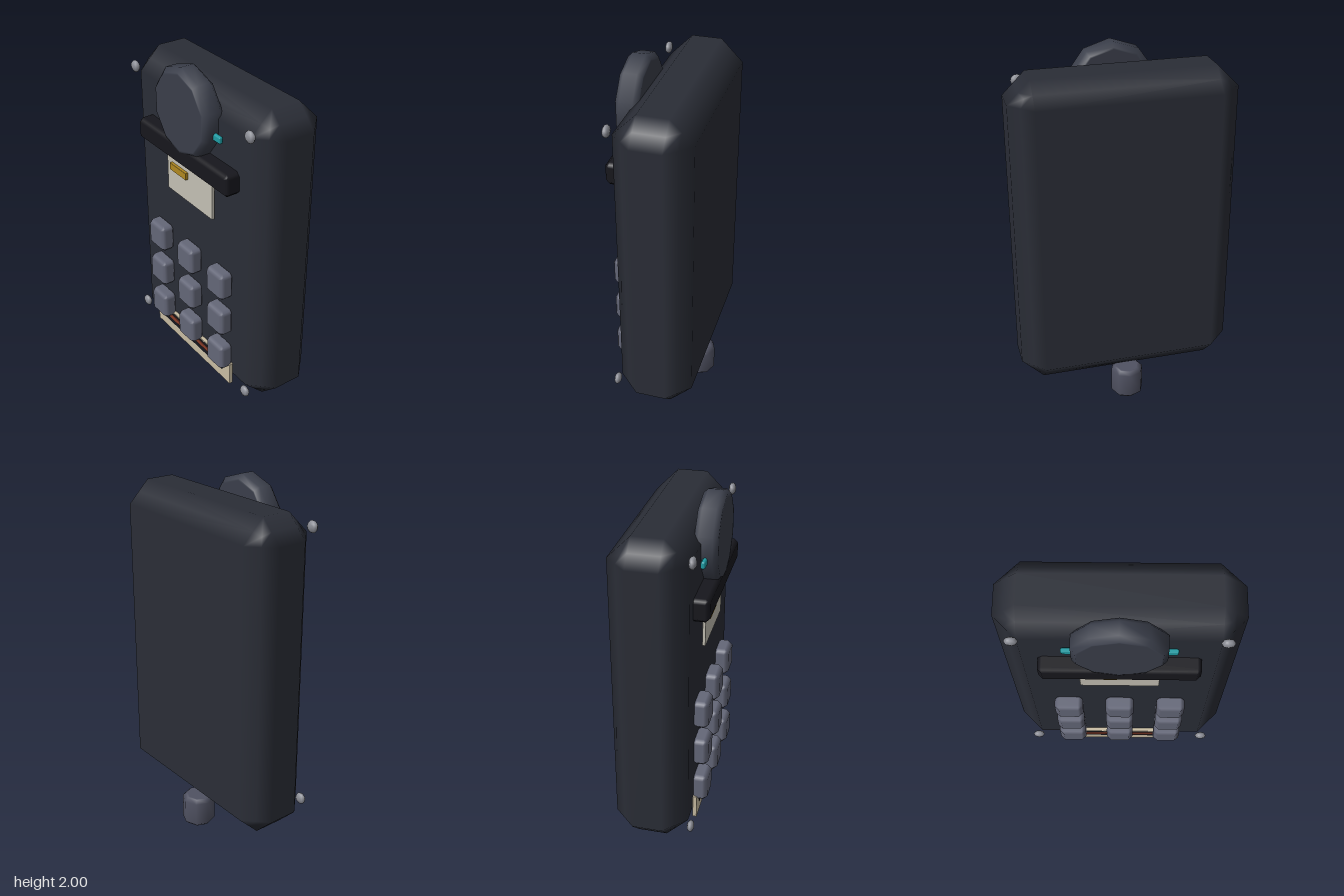
import * as THREE from 'three';

// Box with one flat chamfer of size r on every edge and smooth-blended normals
function chamferBox(w, h, d, r) {
  const g = new THREE.BoxGeometry(1, 1, 1, 3, 3, 3);
  const p = g.attributes.position, nrm = g.attributes.normal;
  const core = [w / 2 - r, h / 2 - r, d / 2 - r];
  for (let i = 0; i < p.count; i++) {
    const v = [p.getX(i), p.getY(i), p.getZ(i)];
    const n = v.map(c => (Math.abs(c) > 0.4 ? Math.sign(c) : 0));
    const sum = n.reduce((a, c) => a + Math.abs(c), 0);
    p.setXYZ(i, ...v.map((c, k) => Math.sign(c) * core[k] + (n[k] * r) / sum));
    nrm.setXYZ(i, ...n.map(c => c / Math.sqrt(sum)));
  }
  return g;
}

// Upright low-sided cylinder with bevelled rims, centred on the origin
function bevelCylinder(r, h, b, sides) {
  const t = h / 2;
  const profile = [[0, -t], [r - b - 0.01, -t], [r - b, -t], [r, b - t], [r, t - b], [r - b, t], [r - b - 0.01, t], [0, t]];
  return new THREE.LatheGeometry(profile.map(q => new THREE.Vector2(...q)), sides, Math.PI / 2);
}

export function createModel() {
  const model = new THREE.Group();
  model.name = 'keypadTerminal';
  const mat = color => new THREE.MeshStandardMaterial({ color });
  const shell = mat(0x2a2d36), dark = mat(0x17171d), dialMat = mat(0x3a3e4a), keyMat = mat(0x646778);
  const metal = mat(0x8a8c94), cream = mat(0xc8bca2), paper = mat(0xc4c0b4);
  const gold = mat(0xb08820), teal = mat(0x1f9ca4), red = mat(0x8a3c28), footMat = mat(0x505262);

  const add = (name, geometry, material, x, y, z) => {
    const m = new THREE.Mesh(geometry, material);
    m.name = name;
    m.position.set(x, y, z);
    model.add(m);
    return m;
  };

  // Main case
  add('case', chamferBox(0.4, 1.755, 1.2, 0.12), shell, 0.035, 1.0425, 0);

  // Ten-sided dial above the slot, with the indicator light bar through it
  add('dial', bevelCylinder(0.24, 0.12, 0.025, 10), dialMat, -0.185, 1.76, 0).rotation.z = Math.PI / 2;
  add('indicatorLight', chamferBox(0.025, 0.04, 0.56, 0.008), teal, -0.184, 1.71, 0);

  // Card slot with a card hanging from it
  add('cardSlot', chamferBox(0.12, 0.125, 0.8, 0.022), dark, -0.185, 1.5225, 0);
  add('card', chamferBox(0.018, 0.28, 0.41, 0.003), paper, -0.181, 1.365, 0);
  add('cardChip', chamferBox(0.02, 0.042, 0.15, 0.003), gold, -0.196, 1.383, -0.085);

  // Three by three keypad
  const keyGeometry = chamferBox(0.09, 0.165, 0.155, 0.025);
  for (const y of [0.405, 0.645, 0.885])
    for (const z of [-0.28, 0, 0.28]) add('key', keyGeometry, keyMat, -0.196, y, z);

  // Tray under the keypad
  add('tray', chamferBox(0.024, 0.14, 0.73, 0.003), cream, -0.176, 0.285, 0);
  add('traySlot', chamferBox(0.01, 0.075, 0.6, 0.002), dark, -0.185, 0.312, 0);
  add('trayStrip', chamferBox(0.01, 0.028, 0.5, 0.002), red, -0.189, 0.322, 0);

  // Corner screws
  const screwGeometry = new THREE.SphereGeometry(1, 8, 6).scale(0.02, 0.032, 0.034);
  for (const y of [0.265, 1.825])
    for (const z of [-0.5, 0.5]) add('screw', screwGeometry, metal, -0.184, y, z);

  // Eight-sided foot
  add('foot', bevelCylinder(0.0925, 0.175, 0.02, 8), footMat, 0.1525, 0.0875, 0);

  return model;
}
